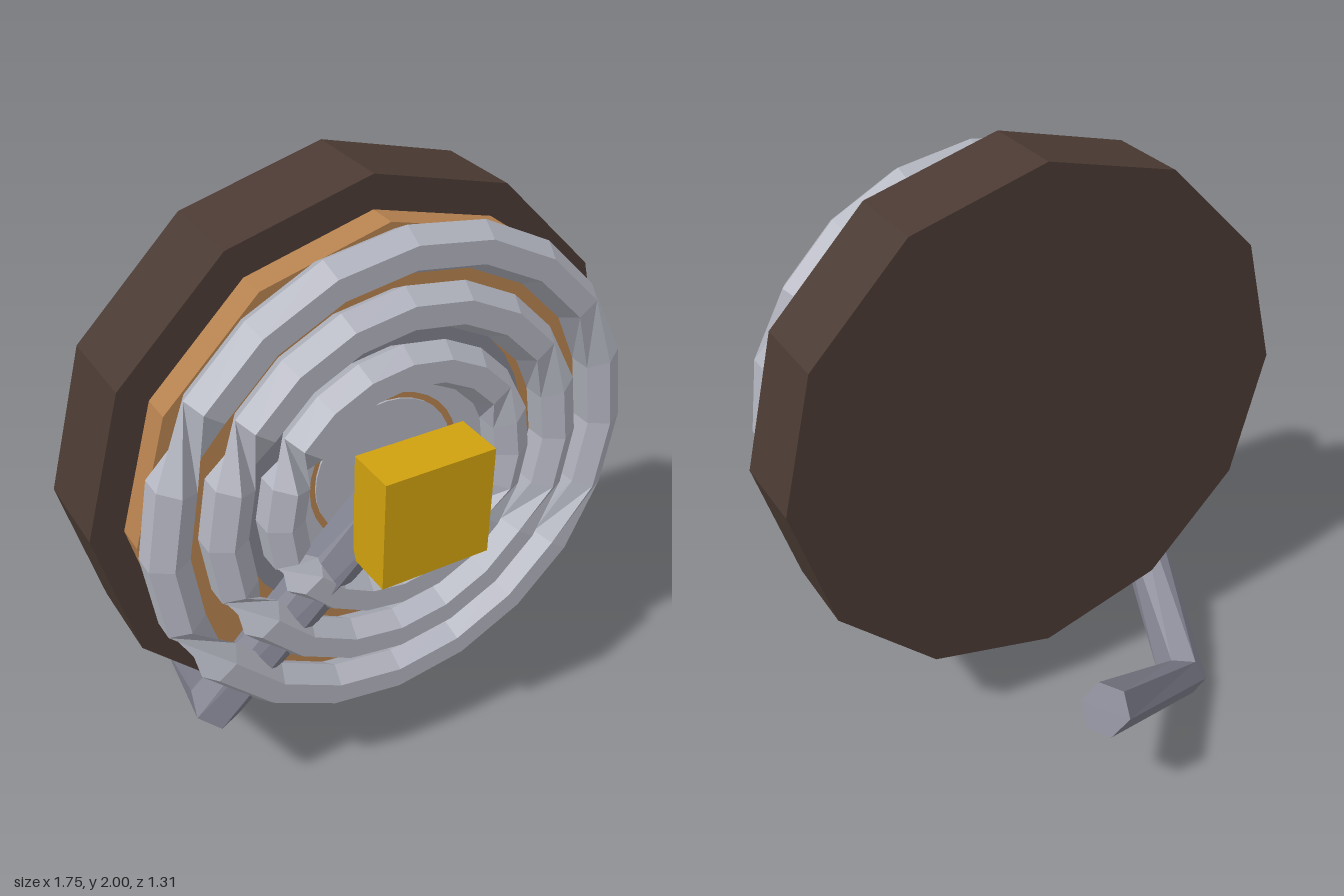
import * as THREE from 'three';

const mat = (name, color) => {
  const m = new THREE.MeshStandardMaterial({ color });
  m.name = name;
  return m;
};

// Six-sided tube along points; sections are turned by `turn` about the path
function hexTube(points, radius, turn, closed) {
  const n = points.length, pos = [], idx = [];
  const Y = new THREE.Vector3(0, 1, 0), Z = new THREE.Vector3(0, 0, 1);
  points.forEach((p, i) => {
    const prev = closed ? points[(i + n - 1) % n] : points[Math.max(i - 1, 0)];
    const next = closed ? points[(i + 1) % n] : points[Math.min(i + 1, n - 1)];
    const a = p.clone().sub(prev).normalize(), b = next.clone().sub(p).normalize();
    const t = a.add(b).normalize();
    const side = t.clone().cross(Math.abs(t.y) > 0.9 ? Z : Y).normalize();
    const up = side.clone().cross(t);
    for (let k = 0; k < 6; k++) {
      const ang = turn + k * Math.PI / 3;
      const v = p.clone().addScaledVector(side, radius * Math.cos(ang)).addScaledVector(up, radius * Math.sin(ang));
      pos.push(v.x, v.y, v.z);
    }
  });
  for (let i = 0; i < (closed ? n : n - 1); i++) {
    const j = (i + 1) % n;
    for (let k = 0; k < 6; k++) {
      const l = (k + 1) % 6;
      const a = i * 6 + k, b = i * 6 + l, c = j * 6 + l, d = j * 6 + k;
      idx.push(a, c, b, a, d, c);
    }
  }
  if (!closed) {
    const e = (n - 1) * 6;
    for (let k = 1; k < 5; k++) idx.push(0, k, k + 1, e, e + k + 1, e + k);
  }
  // the side/up pair turns left-handed about the path, so flip every face
  for (let i = 0; i < idx.length; i += 3) [idx[i + 1], idx[i + 2]] = [idx[i + 2], idx[i + 1]];
  const indexed = new THREE.BufferGeometry();
  indexed.setAttribute('position', new THREE.Float32BufferAttribute(pos, 3));
  indexed.setIndex(idx);
  const g = indexed.toNonIndexed();
  // make sure the enclosed volume is positive, so faces point outward
  const q = g.attributes.position, A = new THREE.Vector3(), B = new THREE.Vector3(), C = new THREE.Vector3();
  let volume = 0;
  for (let i = 0; i < q.count; i += 3) {
    A.fromBufferAttribute(q, i); B.fromBufferAttribute(q, i + 1); C.fromBufferAttribute(q, i + 2);
    volume += A.dot(B.cross(C));
  }
  if (volume < 0) {
    for (let i = 0; i < q.count; i += 3) {
      B.fromBufferAttribute(q, i + 1); C.fromBufferAttribute(q, i + 2);
      q.setXYZ(i + 1, C.x, C.y, C.z);
      q.setXYZ(i + 2, B.x, B.y, B.z);
    }
  }
  g.computeVertexNormals();
  return g;
}

export function createModel() {
  const brown = mat('dark brown', 0x4a3a33);
  const copper = mat('copper', 0xb5814f);
  const steel = mat('light steel', 0xb0b2bd);
  const iron = mat('grey iron', 0x7f808d);
  const gold = mat('gold', 0xd0a10e);
  for (const m of [brown, copper, steel, iron, gold]) m.flatShading = true;

  const model = new THREE.Group();
  const CY = 1.125;
  const add = (name, geo, m, x = 0, y = CY, z = 0) => {
    const mesh = new THREE.Mesh(geo, m);
    mesh.name = name;
    mesh.position.set(x, y, z);
    model.add(mesh);
    return mesh;
  };
  const disc = (name, r, z0, z1, sides, m) =>
    add(name, new THREE.CylinderGeometry(r, r, z1 - z0, sides).rotateX(Math.PI / 2), m, 0, CY, (z0 + z1) / 2);

  // Body discs
  disc('backDisc', 0.875, 0, 0.28, 12, brown);
  disc('copperDisc', 0.775, 0.28, 0.37, 12, copper);

  // Thin plates on the copper face
  disc('centrePlate', 0.23, 0.37, 0.376, 32, steel);
  const plate = (name, r0, r1, m) => add(name, new THREE.RingGeometry(r0, r1, 32), m, 0, CY, 0.376);
  plate('innerPlate', 0.25, 0.38, steel);
  plate('outerPlate', 0.38, 0.485, iron);

  // Three concentric coils
  [0.728, 0.555, 0.38].forEach((r, i) => {
    const pts = Array.from({ length: 20 }, (_, k) => {
      const a = k * Math.PI / 10;
      return new THREE.Vector3(r * Math.cos(a), r * Math.sin(a), 0);
    });
    add('coil' + (i + 1), hexTube(pts, 0.069, Math.PI / 6, true), steel, 0, CY, 0.445);
  });

  // Central block
  add('centreBlock', new THREE.BoxGeometry(0.355, 0.355, 0.16), gold, 0, CY, 0.58);

  // Bent pipe from the centre, round the rim and behind
  const path = [[-0.06, 1.06, 0.45], [-0.58, 0.47, 0.38], [-0.4, 0.074, -0.26], [0.16, 0.485, -0.58]]
    .map(p => new THREE.Vector3(...p));
  add('bentPipe', hexTube(path, 0.085, 0, false), iron, 0, 0, 0);

  return model;
}
